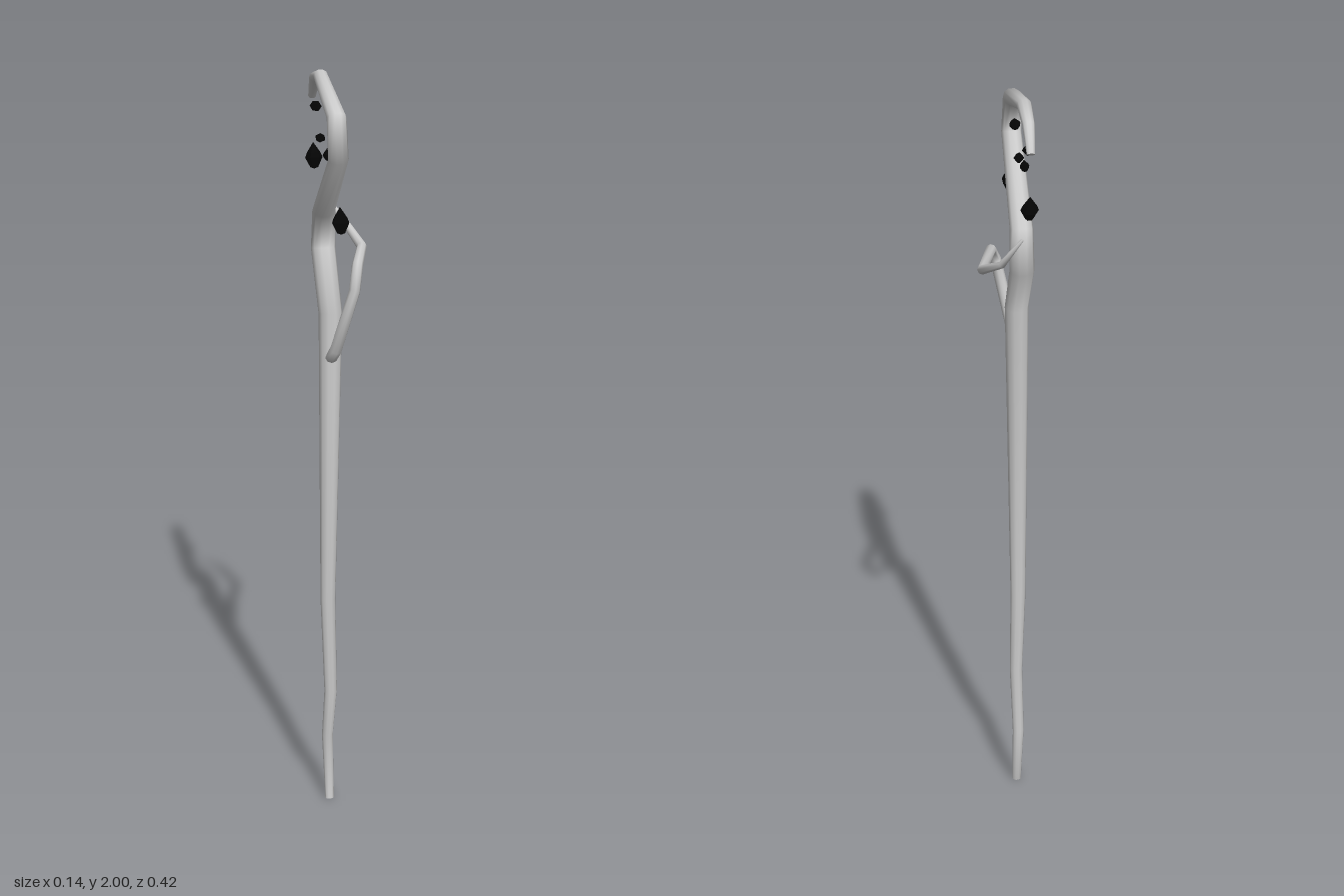
import * as THREE from 'three';

const wood = new THREE.MeshStandardMaterial({ color: 0xcccccc });
const black = new THREE.MeshStandardMaterial({ color: 0x050505, flatShading: true });

// Mitred sweep along straight segments; each point is [x, y, z, radius].
function limb(name, points, sides, depth) {
  const p = points.map(([x, y, z]) => new THREE.Vector3(x, y, z));
  const last = p.length - 1;
  const pos = [], index = [];
  const push = (v) => pos.push(v.x, v.y, v.z);
  p.forEach((c, i) => {
    const dirIn = p[Math.max(i, 1)].clone().sub(p[Math.max(i, 1) - 1]).normalize();
    const j = Math.min(i, last - 1);
    const dirOut = p[j + 1].clone().sub(p[j]).normalize();
    const t = dirIn.clone().add(dirOut).normalize();
    const mitre = 1 / Math.max(0.6, t.dot(dirIn));
    const u = new THREE.Vector3(1, 0, 0).addScaledVector(t, -t.x).normalize();
    const v = t.clone().cross(u);
    const r = points[i][3];
    for (let k = 0; k < sides; k++) {
      const a = (k / sides) * Math.PI * 2;
      push(c.clone().addScaledVector(u, r * Math.cos(a)).addScaledVector(v, r * depth * mitre * Math.sin(a)));
      if (i < last) {
        const a0 = i * sides + k, a1 = i * sides + (k + 1) % sides;
        index.push(a0, a1, a1 + sides, a0, a1 + sides, a0 + sides);
      }
    }
  });
  // end caps with their own corners, so the rims stay sharp
  for (const [ring, flip] of [[0, true], [last, false]]) {
    const base = pos.length / 3;
    for (let k = 0; k < sides; k++) pos.push(...pos.slice((ring * sides + k) * 3, (ring * sides + k) * 3 + 3));
    for (let k = 1; k < sides - 1; k++) {
      index.push(base, base + (flip ? k + 1 : k), base + (flip ? k : k + 1));
    }
  }
  const geo = new THREE.BufferGeometry();
  geo.setAttribute('position', new THREE.Float32BufferAttribute(pos, 3));
  geo.setIndex(index);
  geo.computeVertexNormals();
  const mesh = new THREE.Mesh(geo, wood);
  mesh.name = name;
  return mesh;
}

// Pointed shard, widest just below its middle
function shard(name, y, z, height, radius, tilt, turn) {
  const profile = [[0, -0.5], [0.45, -0.45], [1, -0.08], [0.8, 0.1], [0, 0.5]]
    .map(([r, h]) => new THREE.Vector2(r * radius, h * height));
  const mesh = new THREE.Mesh(new THREE.LatheGeometry(profile, 6), black);
  mesh.name = name;
  mesh.position.set(-0.043, y, z);
  mesh.rotation.set(tilt, turn, 0);
  return mesh;
}

export function createModel() {
  const group = new THREE.Group();
  group.name = 'staff';
  const X = -0.041;

  // crooked shaft ending in an open hook
  group.add(limb('shaft', [
    [X, 0, 0.017, 0.012],
    [X, 0.18, -0.014, 0.015],
    [X, 0.345, 0.036, 0.017],
    [X, 0.6, 0, 0.02],
    [X, 1.415, 0.045, 0.03],
    [X, 1.555, -0.053, 0.031],
    [X, 1.655, -0.042, 0.029],
    [X, 1.84, 0.153, 0.025],
    [X, 1.935, 0.13, 0.024],
    [X, 1.985, -0.08, 0.018],
    [X, 1.963, -0.155, 0.015],
    [X, 1.905, -0.198, 0.01],
  ], 10, 0.85));

  // thin branch curling round the left side
  group.add(limb('branch', [
    [X, 1.3, 0.055, 0.016],
    [-0.036, 1.335, 0.092, 0.016],
    [0, 1.505, 0.146, 0.014],
    [0.018, 1.552, 0.092, 0.014],
    [0.055, 1.555, -0.04, 0.013],
    [0.02, 1.607, -0.14, 0.009],
    [-0.03, 1.67, -0.142, 0.004],
  ], 8, 0.9));

  // floating shards: y, z, height, radius, tilt
  [
    [1.7, 0.19, 0.066, 0.022, -0.25],
    [1.76, -0.168, 0.066, 0.022, -0.25],
    [1.876, 0.102, 0.032, 0.015, 0.9],
    [1.817, 0.026, 0.032, 0.013, -0.4],
    [1.832, -0.074, 0.03, 0.013, 0.7],
    [1.896, -0.136, 0.032, 0.015, 0.9],
  ].forEach(([y, z, h, r, tilt], i) => group.add(shard('shard' + (i + 1), y, z, h, r, tilt, i * 0.5)));

  return group;
}
